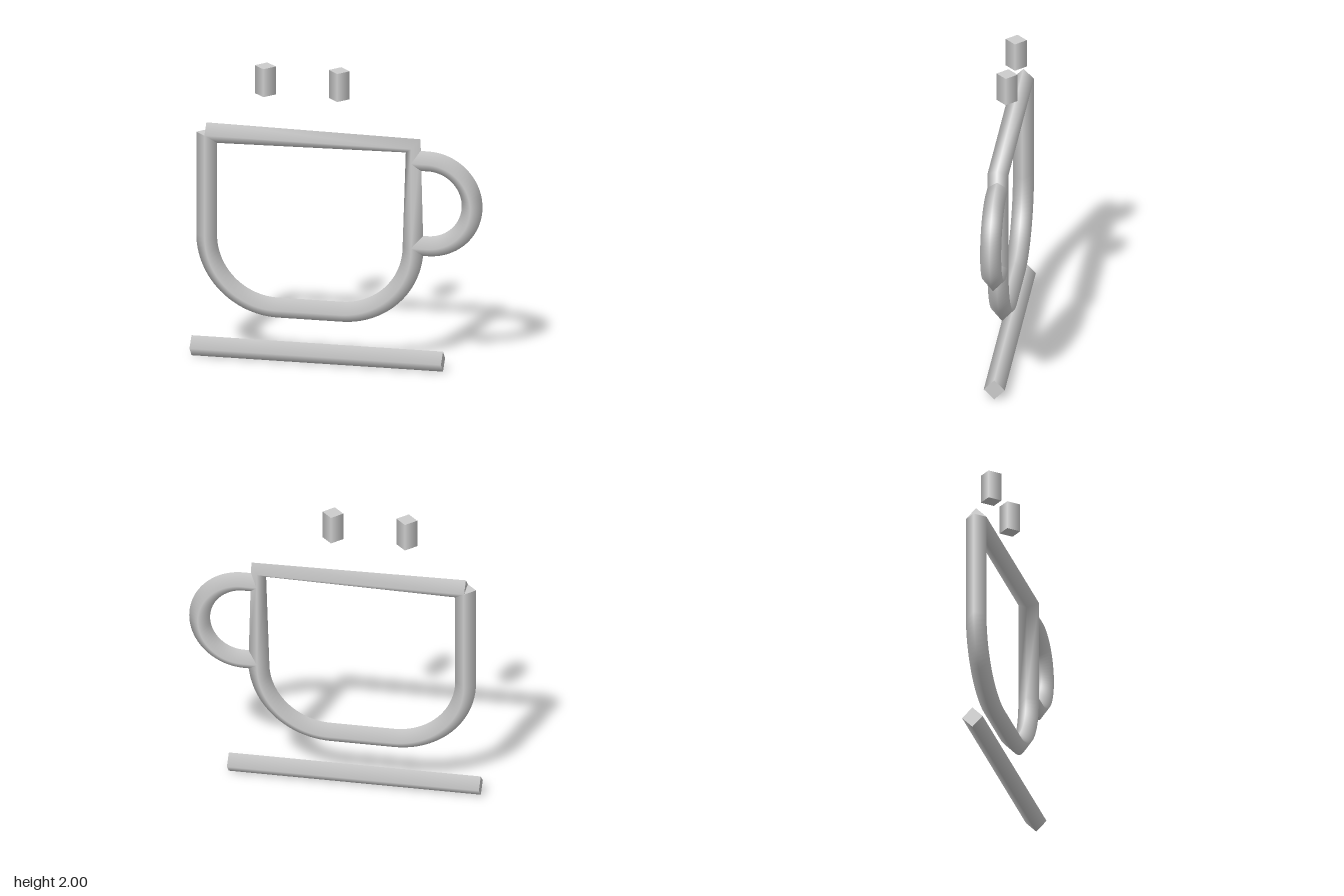
import * as THREE from 'three';

const R = 0.068; // half-width of the diamond section

// Path station: position and heading in the xy plane
const station = (x, y, heading) => ({ x, y, heading });

// Stations along an arc; headings run from h0 to h1
function arc(cx, cy, radius, h0, h1, steps) {
  const turn = Math.sign(h1 - h0), out = [];
  for (let i = 0; i <= steps; i++) {
    const h = h0 + (h1 - h0) * i / steps;
    out.push(station(cx + turn * radius * Math.sin(h), cy - turn * radius * Math.cos(h), h));
  }
  return out;
}

// Sweep a smooth-shaded, capped diamond section along the stations
function sweep(path) {
  const pos = [], nor = [], idx = [];
  const ring = (s, capNormal) => {
    const start = pos.length / 3;
    const nx = -Math.sin(s.heading), ny = Math.cos(s.heading);
    for (let j = 0; j < 4; j++) {
      const c = Math.round(Math.cos(j * Math.PI / 2)), z = Math.round(Math.sin(j * Math.PI / 2));
      pos.push(s.x + R * c * nx, s.y + R * c * ny, R * z);
      nor.push(...(capNormal || [c * nx, c * ny, z]));
    }
    return start;
  };
  path.forEach((s, i) => {
    const b = ring(s);
    if (i === 0) return;
    const a = b - 4;
    for (let j = 0; j < 4; j++) {
      const k = (j + 1) % 4;
      idx.push(a + j, a + k, b + k, a + j, b + k, b + j);
    }
  });
  // End caps
  const first = path[0], last = path[path.length - 1];
  const s = ring(first, [-Math.cos(first.heading), -Math.sin(first.heading), 0]);
  idx.push(s, s + 2, s + 1, s, s + 3, s + 2);
  const e = ring(last, [Math.cos(last.heading), Math.sin(last.heading), 0]);
  idx.push(e, e + 1, e + 2, e, e + 2, e + 3);

  const g = new THREE.BufferGeometry();
  g.setAttribute('position', new THREE.Float32BufferAttribute(pos, 3));
  g.setAttribute('normal', new THREE.Float32BufferAttribute(nor, 3));
  g.setIndex(idx);
  return g;
}

export function createModel() {
  const group = new THREE.Group();
  const grey = new THREE.MeshStandardMaterial({ color: 0xcccccc });
  grey.name = 'light grey';
  const add = (name, path) => {
    const mesh = new THREE.Mesh(sweep(path), grey);
    mesh.name = name;
    group.add(mesh);
  };
  const H = Math.PI / 2;

  // Cup outline: left side, rounded bottom, right side, mitred rim
  add('cupOutline', [
    station(-0.856, 1.522, -H),
    ...arc(-0.39, 0.83, 0.466, -H, 0, 24),
    ...arc(0.025, 0.83, 0.466, 0, H, 24),
    station(0.492, 1.522, H * 1.5),
    station(-0.858, 1.522, H * 2),
  ]);

  // Handle: half loop with short straight ends inside the cup side
  add('handle', [
    station(0.495, 1.135 - 0.288, 0),
    ...arc(0.589, 1.135, 0.288, 0, Math.PI, 40),
    station(0.495, 1.135 + 0.288, Math.PI),
  ]);

  // Saucer line below the cup
  add('saucer', [station(-0.955, R + 0.002, 0), station(0.687, R + 0.002, 0)]);

  // Two steam marks above the rim
  [['steamRight', -0.473], ['steamLeft', 0.009]].forEach(([name, x]) =>
    add(name, [station(x, 1.81, H), station(x, 2, H)]));

  return group;
}
